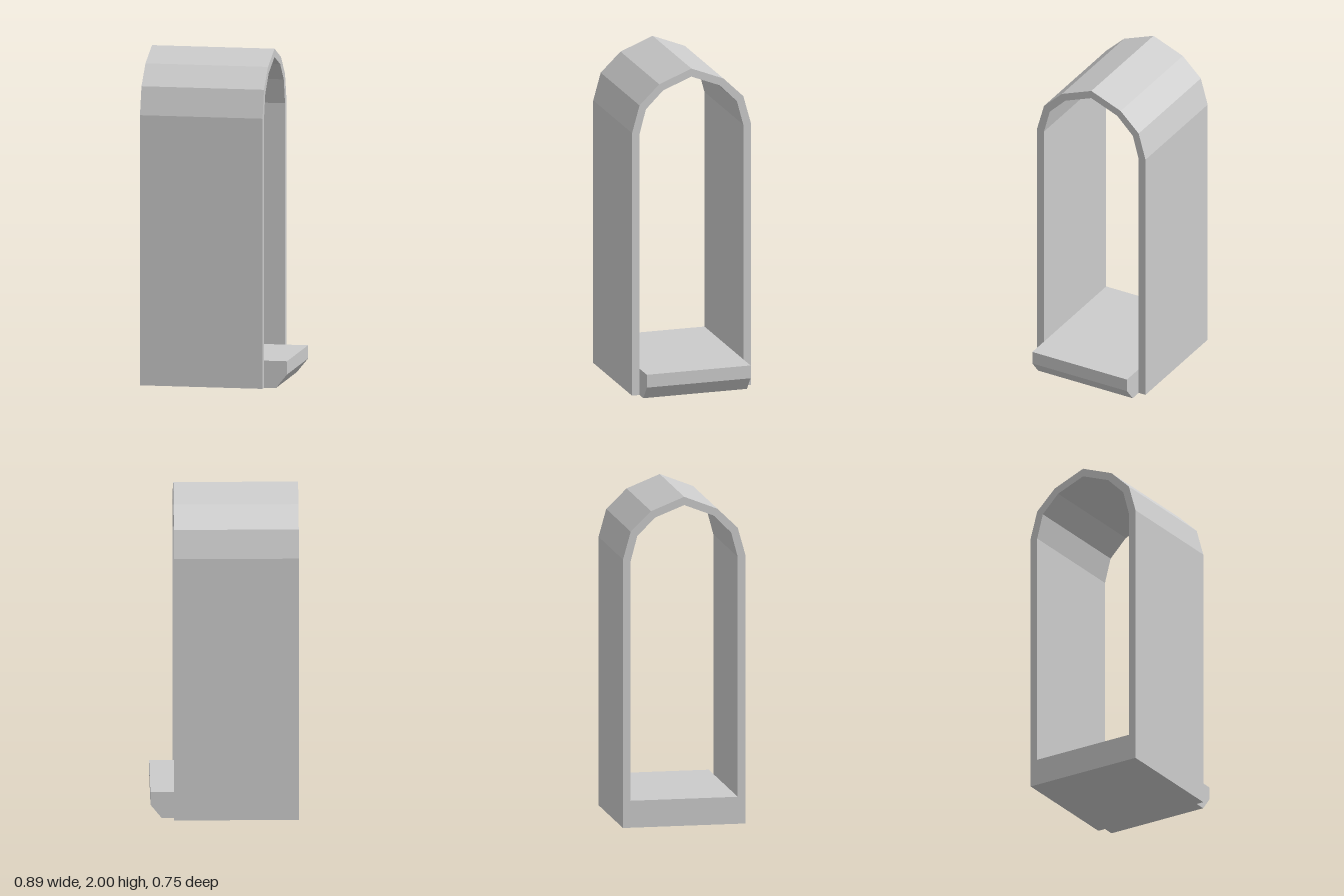
import * as THREE from 'three';

const material = new THREE.MeshStandardMaterial({ color: 0xcccccc, flatShading: true });

// Straight extrusion of an outline along z, starting at z = 0
function extrude(points, depth) {
  const shape = new THREE.Shape(points.map(([x, y]) => new THREE.Vector2(x, y)));
  return new THREE.ExtrudeGeometry(shape, { depth, bevelEnabled: false });
}

// Half profile (foot to apex) mirrored into a full arch line
function mirrorArch(half) {
  const otherSide = half.slice(0, -1).reverse().map(([x, y]) => [-x, y]);
  return [...half, ...otherSide];
}

export function createModel() {
  const group = new THREE.Group();
  group.name = 'archedWindowFrame';
  const back = -0.443, front = 0.303, sillFront = 0.443, halfOpening = 0.326;

  // Faceted arch surround, swept along x through the wall depth
  const outer = mirrorArch([[0.373, 0], [0.373, 1.632], [0.326, 1.8], [0.202, 1.92], [0, 2]]);
  const inner = mirrorArch([[halfOpening, 0], [halfOpening, 1.622], [0.286, 1.772], [0.178, 1.88], [0, 1.95]]);
  const archGeometry = extrude([...outer, ...inner.reverse()], front - back);
  archGeometry.rotateY(Math.PI / 2).translate(back, 0, 0);
  const arch = new THREE.Mesh(archGeometry, material);
  arch.name = 'archFrame';

  // Sill with a projecting nose, chamfered underneath
  const sillGeometry = extrude(
    [[back, 0], [0.375, 0], [sillFront, 0.084], [sillFront, 0.164], [back, 0.164]],
    halfOpening * 2
  );
  sillGeometry.translate(0, 0, -halfOpening);
  const sill = new THREE.Mesh(sillGeometry, material);
  sill.name = 'sill';

  group.add(arch, sill);
  return group;
}
